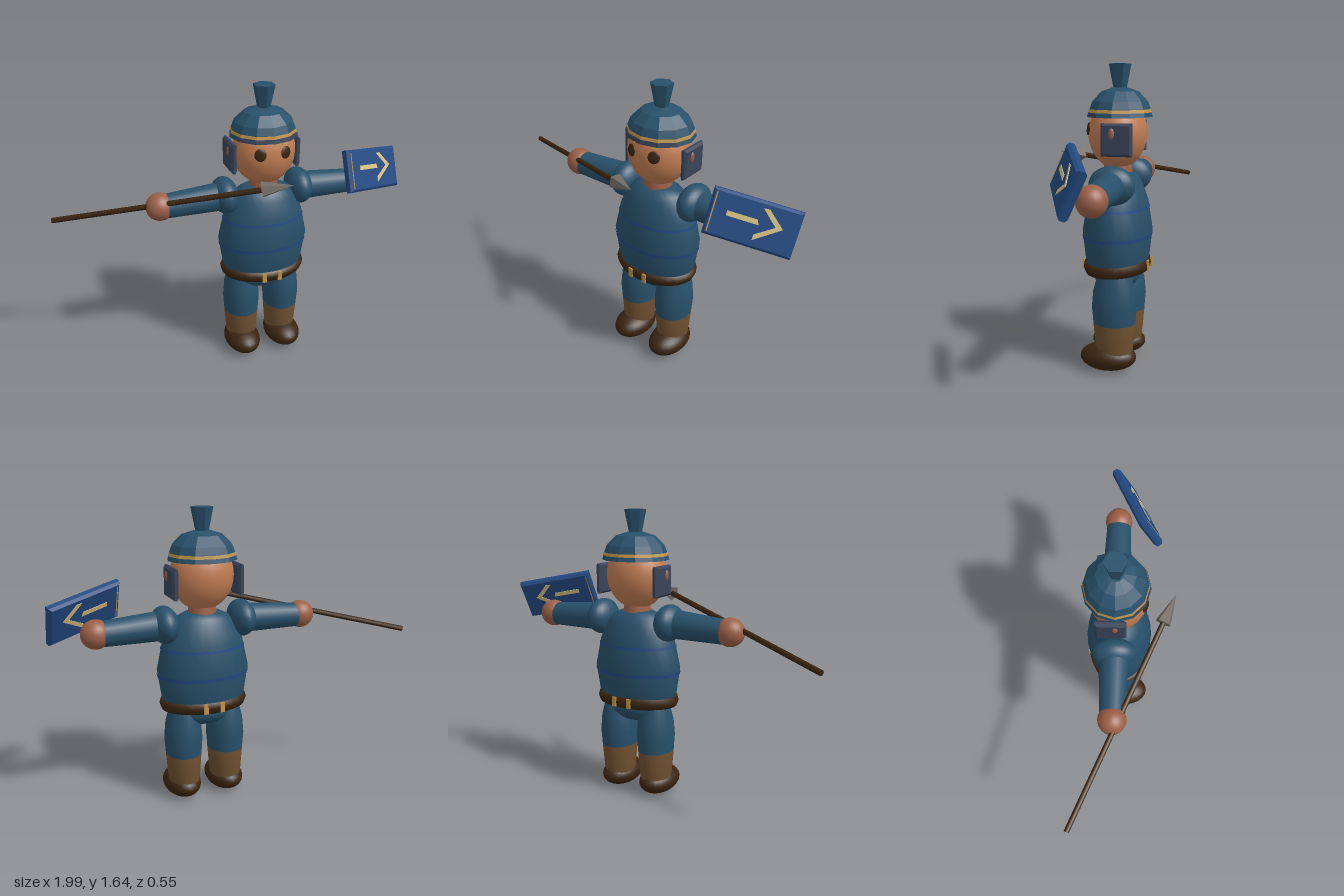
import * as THREE from 'three';

const mat = (name, color) => {
  const m = new THREE.MeshStandardMaterial({ color });
  m.name = name;
  return m;
};

export function createModel() {
  const cloth = mat('teal cloth', 0x28506a), skin = mat('face skin', 0xc07c52),
    handSkin = mat('hand skin', 0x9c6048), blue = mat('shield blue', 0x234a82),
    gold = mat('gold', 0xc0944a), cream = mat('cream paint', 0xd8c080),
    tan = mat('boot tan', 0x6e5030), brown = mat('dark brown', 0x3a2410),
    steel = mat('steel', 0x736c66), slate = mat('slate', 0x39435a);

  const model = new THREE.Group();
  const figure = new THREE.Group();
  figure.name = 'soldier';
  figure.position.set(0.16, 0, -0.035);
  model.add(figure);

  const add = (parent, name, geo, material, x = 0, y = 0, z = 0) => {
    const m = new THREE.Mesh(geo, material);
    m.name = name;
    m.position.set(x, y, z);
    parent.add(m);
    return m;
  };
  const ball = (rx, ry, rz) => new THREE.SphereGeometry(1, 24, 16).scale(rx, ry, rz);
  const lathe = (pts, zScale, sides = 24, start = 0, sweep = Math.PI * 2) =>
    new THREE.LatheGeometry(pts.map(p => new THREE.Vector2(...p)), sides, start, sweep).scale(1, 1, zScale);
  const flat = geo => {
    const g = geo.index ? geo.toNonIndexed() : geo;
    g.computeVertexNormals();
    return g;
  };
  // Flat slab with chamfered edges, centred on the origin
  const slab = (w, h, t, b) => {
    const x = w / 2 - b, y = h / 2 - b;
    const s = new THREE.Shape([[-x, -y], [x, -y], [x, y], [-x, y]].map(p => new THREE.Vector2(...p)));
    return new THREE.ExtrudeGeometry(s, {
      depth: t - 2 * b, bevelThickness: b, bevelSize: b, bevelSegments: 1,
    }).translate(0, 0, b - t / 2);
  };

  // Torso, pelvis and neck
  add(figure, 'tunic', lathe([[0, 0.53], [0.2, 0.54], [0.235, 0.59], [0.262, 0.77], [0.228, 0.93],
    [0.185, 1.02], [0.15, 1.065], [0.1, 1.09], [0, 1.1]], 0.71), cloth);
  add(figure, 'pelvis', ball(0.2, 0.09, 0.125), cloth, 0, 0.53, 0);
  add(figure, 'neck', new THREE.CylinderGeometry(0.07, 0.085, 0.12, 16), handSkin, 0, 1.1, 0);
  add(figure, 'lowerStripe', lathe([[0.2615, 0.738], [0.264, 0.758]], 0.71), blue);
  add(figure, 'upperStripe', lathe([[0.2395, 0.892], [0.236, 0.908]], 0.71), blue);

  // Belt with paired gold bars, front and back
  const belt = new THREE.Group();
  belt.name = 'belt';
  belt.position.y = 0.58;
  belt.rotation.x = 0.035;
  figure.add(belt);
  add(belt, 'strap', lathe([[0.19, -0.035], [0.24, -0.03], [0.252, 0], [0.243, 0.028], [0.2, 0.035]], 0.72), brown);
  for (const x of [-0.047, 0.047])
    for (const z of [-0.178, 0.178])
      add(belt, 'buckleBar', new THREE.BoxGeometry(0.024, 0.055, 0.009), gold, x, 0, z);

  // Head and face
  add(figure, 'head', ball(0.176, 0.19, 0.156), skin, 0, 1.29, 0);
  const onFace = (name, geo, material, x, y) => {
    const z = 0.156 * Math.sqrt(1 - (x / 0.176) ** 2 - (y / 0.19) ** 2);
    const n = new THREE.Vector3(x / 0.176 ** 2, y / 0.19 ** 2, z / 0.156 ** 2).normalize();
    add(figure, name, geo, material, x, 1.29 + y, z)
      .quaternion.setFromUnitVectors(new THREE.Vector3(0, 0, 1), n);
  };
  for (const s of [-1, 1]) {
    onFace('eye', ball(0.032, 0.034, 0.009), brown, s * 0.072, 0.025);
    onFace('brow', new THREE.BoxGeometry(0.035, 0.007, 0.008), gold, s * 0.07, 0.072);
    // Square cheek guards with the ear showing through
    add(figure, 'earGuard', slab(0.162, 0.168, 0.036, 0.012), slate, s * 0.184, 1.268, -0.036)
      .rotation.y = Math.PI / 2;
    add(figure, 'ear', ball(0.014, 0.032, 0.017), handSkin, s * 0.196, 1.3, -0.013);
  }

  // Helmet with trim and plume
  const helmet = new THREE.Group();
  helmet.name = 'helmet';
  helmet.position.z = -0.012;
  figure.add(helmet);
  add(helmet, 'dome', flat(lathe([[0.13, 1.375], [0.191, 1.377], [0.178, 1.42], [0.163, 1.457],
    [0.11, 1.508], [0.045, 1.528], [0, 1.53]], 0.92, 12)), cloth);
  add(helmet, 'trim', flat(lathe([[0.186, 1.4], [0.181, 1.417]], 0.92, 12)), gold);
  add(helmet, 'frontBand', flat(lathe([[0.193, 1.377], [0.187, 1.4]], 0.92, 4, -Math.PI / 3, Math.PI * 2 / 3)), slate);
  add(helmet, 'plume', flat(new THREE.CylinderGeometry(0.061, 0.034, 0.135, 6)), cloth, 0, 1.583, 0);

  // Arms and legs
  for (const s of [-1, 1]) {
    const side = s < 0 ? 'right' : 'left';
    add(figure, side + 'Shoulder', ball(0.075, 0.102, 0.122), cloth, s * 0.222, 1.04, -0.02);
    add(figure, side + 'Sleeve', new THREE.CylinderGeometry(0.082, 0.068, 0.34, 20), cloth, s * 0.39, 1.03, -0.018)
      .rotation.z = s * (Math.PI / 2 - 0.04);
    add(figure, side + 'Hand', ball(0.08, 0.078, 0.077), handSkin, s * 0.59, 1.025, -0.018);
    add(figure, side + 'Leg', lathe([[0.1, 0.27], [0.107, 0.37], [0.1, 0.46], [0.075, 0.56]], 1.14),
      cloth, s * 0.126, 0, -0.01);
    add(figure, side + 'BootShaft', lathe([[0.085, 0.08], [0.092, 0.16], [0.101, 0.28], [0.09, 0.283]], 1.14),
      tan, s * 0.126, 0, -0.01);
    add(figure, side + 'Shoe', ball(0.105, 0.075, 0.155), brown, s * 0.13, 0.083, 0.024);
  }
  // Turn the left sleeve so its wide end meets the shoulder
  figure.getObjectByName('rightSleeve').rotation.z = -(Math.PI / 2 - 0.04);

  // Spear
  const butt = new THREE.Vector3(-0.995, 0.93, -0.265), tip = new THREE.Vector3(0.218, 1.195, 0.268);
  const dir = tip.clone().sub(butt), length = dir.length();
  const spear = new THREE.Group();
  spear.name = 'spear';
  spear.position.copy(butt);
  spear.quaternion.setFromUnitVectors(new THREE.Vector3(0, 1, 0), dir.normalize());
  model.add(spear);
  add(spear, 'shaft', new THREE.CylinderGeometry(0.015, 0.015, length - 0.15, 8), brown, 0, (length - 0.15) / 2, 0);
  add(spear, 'spearHead', flat(new THREE.ConeGeometry(0.045, 0.17, 5)), steel, 0, length - 0.085, 0);

  // Shield, leaning back and turned outward
  const along = new THREE.Vector3(0.905, -0.181, -0.385).normalize();
  const face = along.clone().cross(new THREE.Vector3(0, 0.91, -0.414)).normalize();
  const shield = new THREE.Group();
  shield.name = 'shield';
  shield.position.set(0.787, 1.125, 0.05);
  shield.quaternion.setFromRotationMatrix(new THREE.Matrix4().makeBasis(along, face.clone().cross(along), face));
  model.add(shield);
  add(shield, 'board', slab(0.44, 0.237, 0.052, 0.013), blue);
  add(shield, 'edgeLine', new THREE.BoxGeometry(0.006, 0.2, 0.056), gold, -0.198, 0, 0);
  // Painted marks stand slightly proud of both faces
  const mark = (name, pts) => {
    const s = new THREE.Shape(pts.map(p => new THREE.Vector2(...p)));
    add(shield, name, new THREE.ExtrudeGeometry(s, { depth: 0.058, bevelEnabled: false }), cream, 0, 0, -0.029);
  };
  mark('paintedDash', [[-0.13, 0], [0.03, 0], [0.02, 0.025], [-0.13, 0.025]]);
  mark('paintedChevron', [[0.03, 0.085], [0.11, 0.012], [0.02, -0.05], [0.02, -0.078], [0.145, 0.012], [0.06, 0.088]]);

  model.traverse(o => {
    if (o.name === '') o.name = 'model';
  });
  return model;
}
